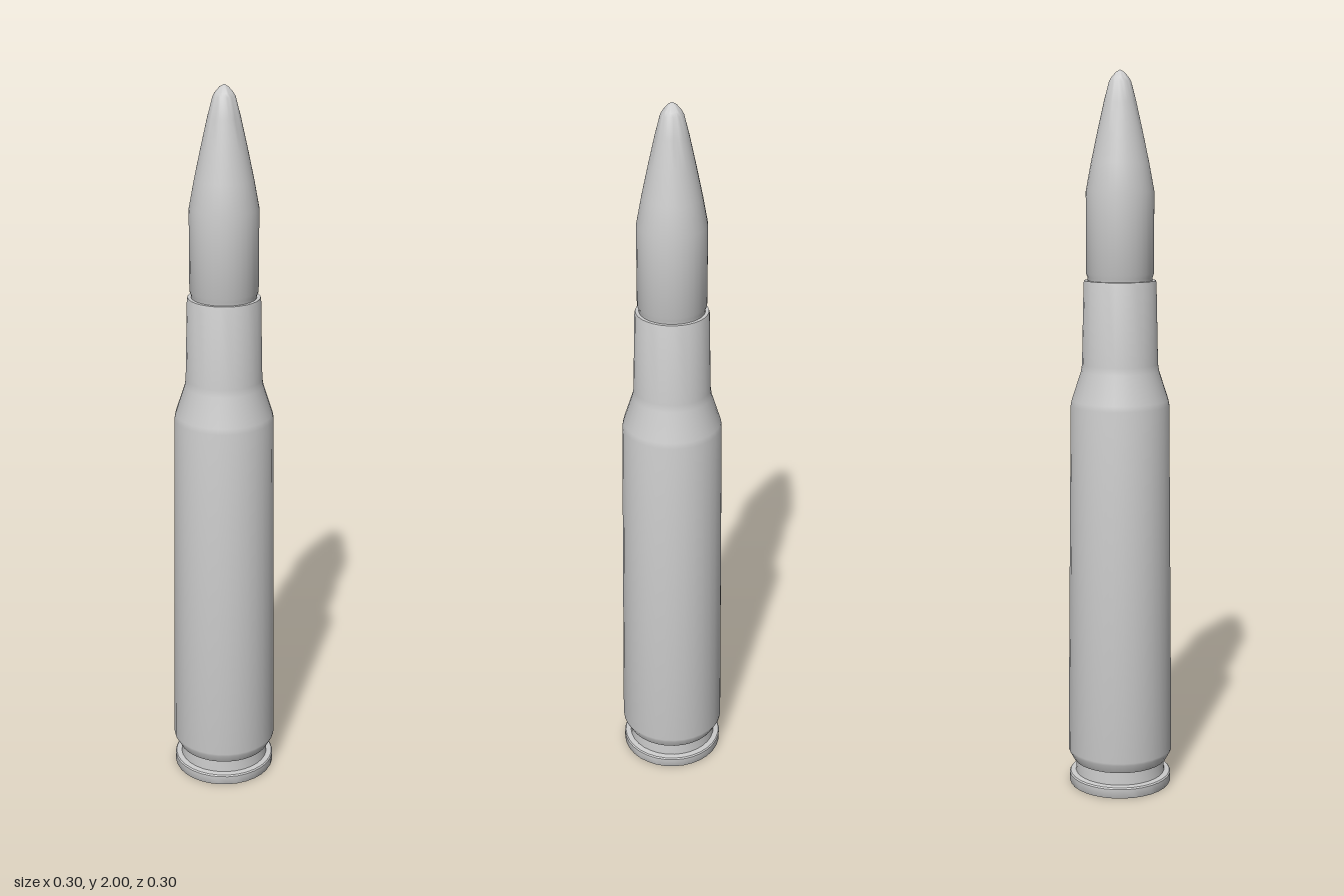
import * as THREE from 'three';
import { toCreasedNormals } from 'three/addons/utils/BufferGeometryUtils.js';

const SIDES = 32;

// Turns a [radius, height] profile, listed bottom to top, around the y axis
function turned(name, profile, material) {
  const points = profile.map(([r, y]) => new THREE.Vector2(r, y));
  const geometry = toCreasedNormals(new THREE.LatheGeometry(points, SIDES), 0.5);
  const mesh = new THREE.Mesh(geometry, material);
  mesh.name = name;
  return mesh;
}

export function createModel() {
  const group = new THREE.Group();
  group.name = 'cartridge';
  const grey = new THREE.MeshStandardMaterial({ color: 0xcccccc });

  // Flat base with its rim and the extractor groove above it
  group.add(turned('baseRim', [
    [0, 0], [0.143, 0], [0.145, 0.004], [0.145, 0.027], [0.142, 0.031], [0.127, 0.033],
  ], grey));
  group.add(turned('extractorGroove', [[0.127, 0.033], [0.125, 0.068]], grey));

  // Tapered case, shoulder, neck and the mouth folding in to the bullet
  group.add(turned('case', [
    [0.125, 0.068], [0.133, 0.071], [0.147, 0.097], [0.148, 0.104],
    [0.137, 1.095], [0.134, 1.11], [0.108, 1.19], [0.105, 1.21],
    [0.1, 1.432], [0.098, 1.439], [0.088, 1.439],
  ], grey));

  // Bullet with a crimped foot, straight shank, tapered nose and blunt tip
  group.add(turned('bullet', [
    [0.088, 1.43], [0.089, 1.447], [0.093, 1.458], [0.093, 1.68],
    [0.079, 1.755], [0.062, 1.835], [0.044, 1.915], [0.03, 1.969],
    [0.024, 1.979], [0.012, 1.993], [0, 2],
  ], grey));

  return group;
}
